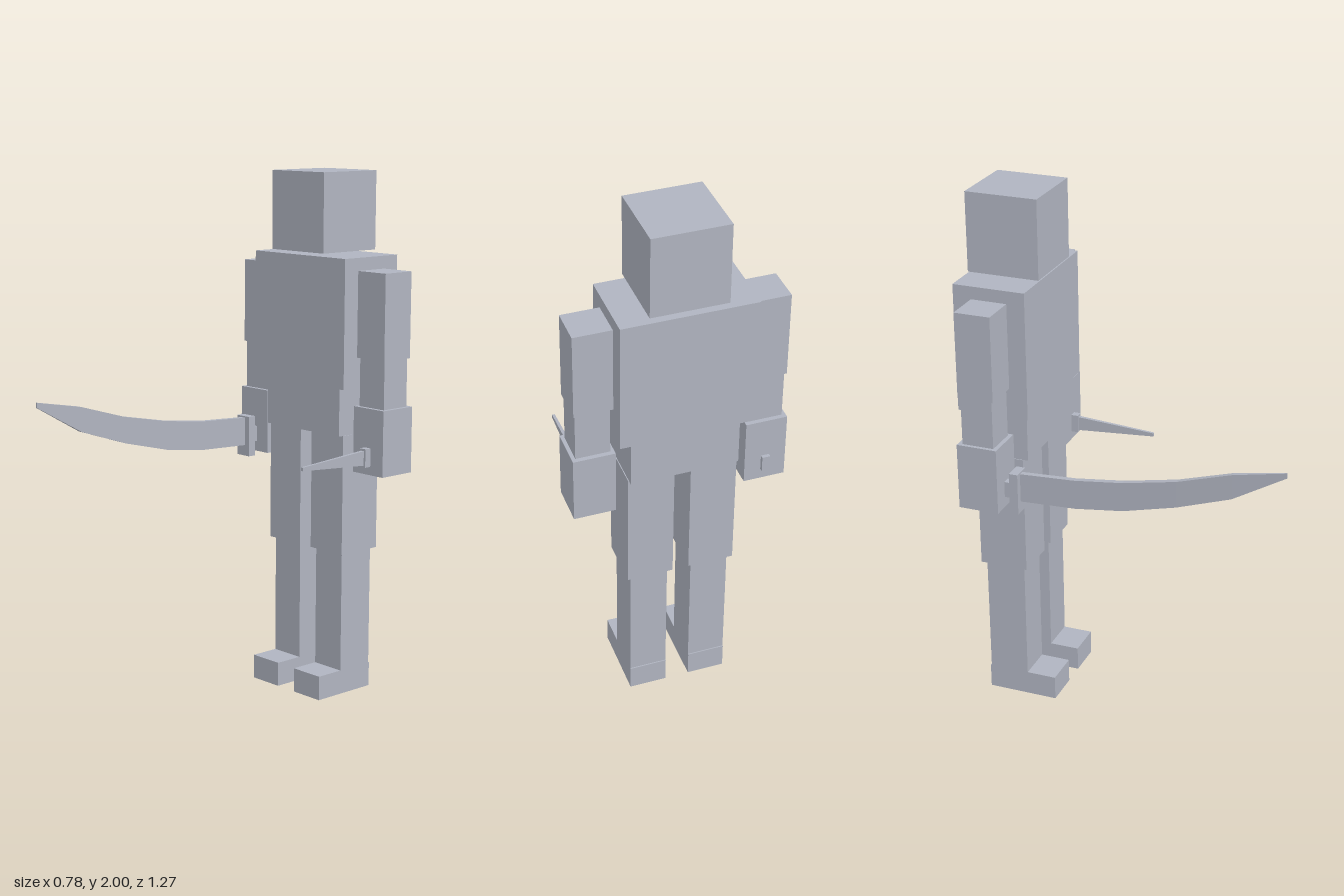
import * as THREE from 'three';

export function createModel() {
  const model = new THREE.Group();
  model.name = 'swordFighter';
  const grey = new THREE.MeshStandardMaterial({ color: 0xb0b4c0, flatShading: true });
  grey.name = 'pale grey';

  function add(name, geometry) {
    const mesh = new THREE.Mesh(geometry, grey);
    mesh.name = name;
    model.add(mesh);
    return mesh;
  }

  // Box given by its extents along each axis
  function box(name, [x0, x1], [y0, y1], [z0, z1]) {
    const mesh = add(name, new THREE.BoxGeometry(x1 - x0, y1 - y0, z1 - z0));
    mesh.position.set((x0 + x1) / 2, (y0 + y1) / 2, (z0 + z1) / 2);
  }

  // Blade lofted along +z from rectangular sections [z, bottom, top, width]
  function blade(name, x, sections) {
    const positions = [];
    const index = [];
    for (const [z, bottom, top, w] of sections) {
      positions.push(x - w / 2, bottom, z, x + w / 2, bottom, z,
        x + w / 2, top, z, x - w / 2, top, z);
    }
    for (let s = 0; s < sections.length - 1; s++) {
      for (let k = 0; k < 4; k++) {
        const a = s * 4 + k, b = s * 4 + (k + 1) % 4;
        index.push(a, b, b + 4, a, b + 4, a + 4);
      }
    }
    const e = (sections.length - 1) * 4;
    index.push(0, 2, 1, 0, 3, 2, e, e + 1, e + 2, e, e + 2, e + 3);
    const geometry = new THREE.BufferGeometry();
    geometry.setAttribute('position', new THREE.Float32BufferAttribute(positions, 3));
    geometry.setIndex(index);
    const flat = geometry.toNonIndexed();
    flat.computeVertexNormals();
    add(name, flat);
  }

  // Head and trunk
  box('head', [-0.138, 0.138], [1.703, 2], [-0.624, -0.349]);
  box('torso', [-0.242, 0.242], [1.205, 1.69], [-0.635, -0.359]);
  box('pelvis', [-0.196, 0.196], [1.02, 1.205], [-0.612, -0.384]);

  // Limbs, mirrored left and right
  for (const [side, s] of [['left', 1], ['right', -1]]) {
    const limb = (part, x0, x1, y, z) =>
      box(side + part, s > 0 ? [x0, x1] : [-x1, -x0], y, z);
    limb('UpperArm', 0.242, 0.381, [1.32, 1.642], [-0.565, -0.428]);
    limb('Forearm', 0.251, 0.375, [1.138, 1.32], [-0.557, -0.436]);
    limb('Fist', 0.237, 0.389, [0.888, 1.138], [-0.574, -0.42]);
    limb('Thigh', 0.03, 0.199, [0.56, 1.02], [-0.59, -0.403]);
    limb('Shin', 0.045, 0.184, [0.094, 0.56], [-0.573, -0.419]);
    limb('Foot', 0.045, 0.184, [0, 0.094], [-0.577, -0.304]);
  }

  // Curved sword in the right fist
  box('swordGrip', [-0.328, -0.298], [0.928, 0.988], [-0.588, -0.392]);
  box('swordGuard', [-0.347, -0.279], [0.876, 1.034], [-0.392, -0.359]);
  blade('swordBlade', -0.313, [
    [-0.36, 0.918, 1.028, 0.021],
    [-0.148, 0.927, 1.039, 0.021],
    [0.037, 0.951, 1.062, 0.021],
    [0.238, 1.002, 1.102, 0.021],
    [0.44, 1.07, 1.163, 0.018],
    [0.634, 1.181, 1.2, 0.007],
  ]);

  // Dagger in the left fist
  box('daggerGrip', [0.297, 0.326], [0.92, 0.99], [-0.56, -0.393]);
  blade('daggerBlade', 0.311, [
    [-0.393, 0.927, 0.982, 0.014],
    [-0.082, 0.949, 0.962, 0.01],
  ]);

  return model;
}
